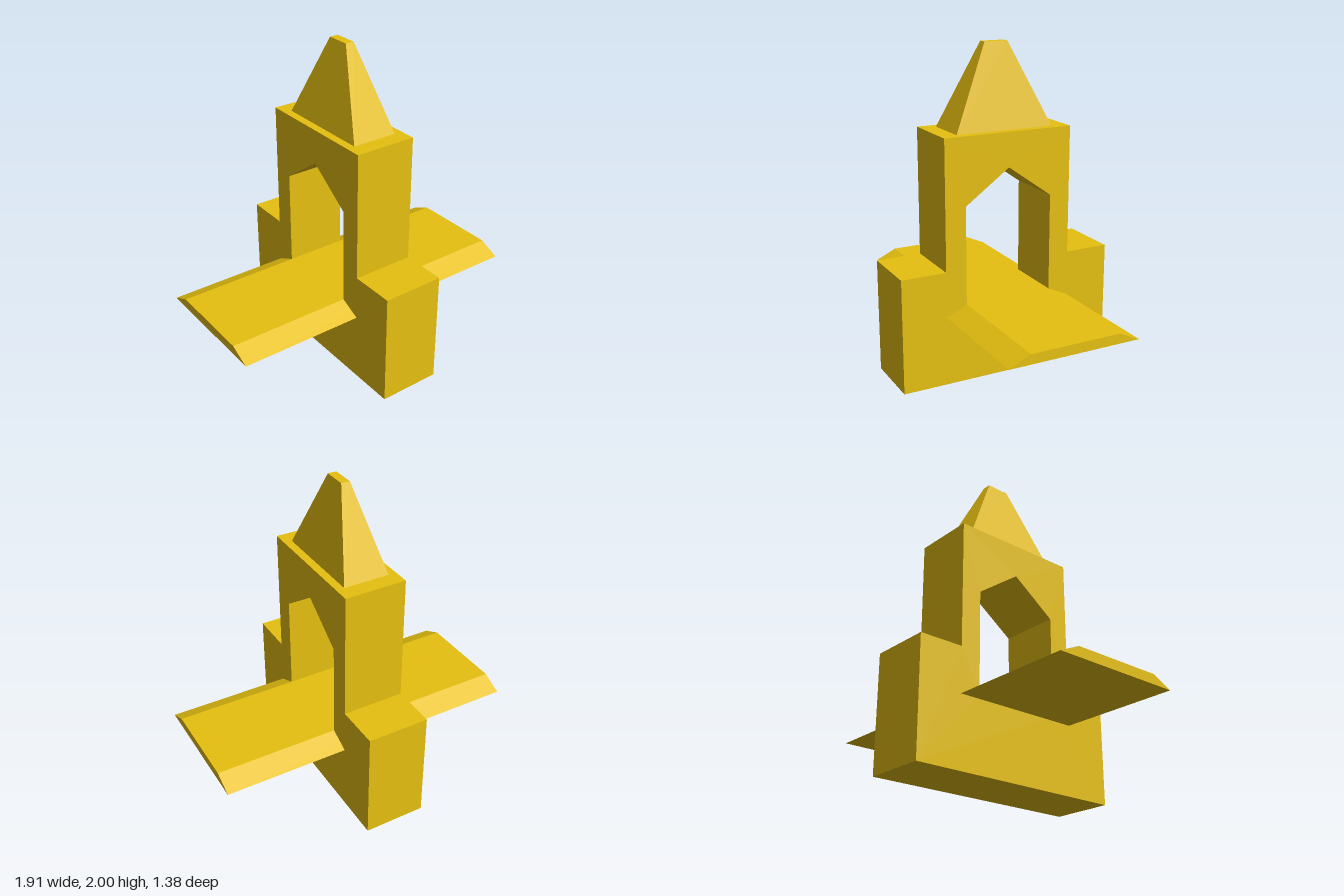
import * as THREE from 'three';

const material = new THREE.MeshStandardMaterial({ color: 0xe6c010, flatShading: true });

// Extrudes a closed (z, y) outline along x, centred on x = 0
function extrudeAlongX(name, outline, width, hole) {
  const toPoints = (list) => list.map(([z, y]) => new THREE.Vector2(z, y));
  const shape = new THREE.Shape(toPoints(outline));
  if (hole) shape.holes.push(new THREE.Path(toPoints(hole)));
  const geometry = new THREE.ExtrudeGeometry(shape, { depth: width, bevelEnabled: false });
  geometry.translate(0, 0, -width / 2).rotateY(-Math.PI / 2);
  const mesh = new THREE.Mesh(geometry, material);
  mesh.name = name;
  return mesh;
}

// Mirrors half an outline to the other side of z = 0
const mirrored = (half) => [...half, ...half.map(([z, y]) => [-z, y]).reverse()];

export function createModel() {
  const group = new THREE.Group();
  group.name = 'archTower';

  // Stepped tower with a pointed archway through it
  const outline = mirrored([[0.69, 0], [0.69, 0.71], [0.41, 0.71], [0.41, 1.5]]);
  const archway = [[-0.28, 0.46], [-0.28, 1.09], [0, 1.29], [0.28, 1.09], [0.28, 0.46]];
  group.add(extrudeAlongX('tower', outline, 0.386, archway));

  // Bridge deck with sloping edges, forming the archway floor
  group.add(extrudeAlongX('bridgeDeck', mirrored([[0.41, 0.43], [0.28, 0.49]]), 1.914));

  // Spire: a box whose top is drawn in to a narrow ridge
  const spireGeometry = new THREE.BoxGeometry(0.286, 0.5, 0.62);
  const position = spireGeometry.attributes.position;
  for (let i = 0; i < position.count; i++) {
    if (position.getY(i) > 0) {
      position.setX(i, Math.sign(position.getX(i)) * 0.027);
      position.setZ(i, Math.sign(position.getZ(i)) * 0.074);
    }
  }
  spireGeometry.computeVertexNormals();
  const spire = new THREE.Mesh(spireGeometry, material);
  spire.name = 'spire';
  spire.position.y = 1.75;
  group.add(spire);

  return group;
}
